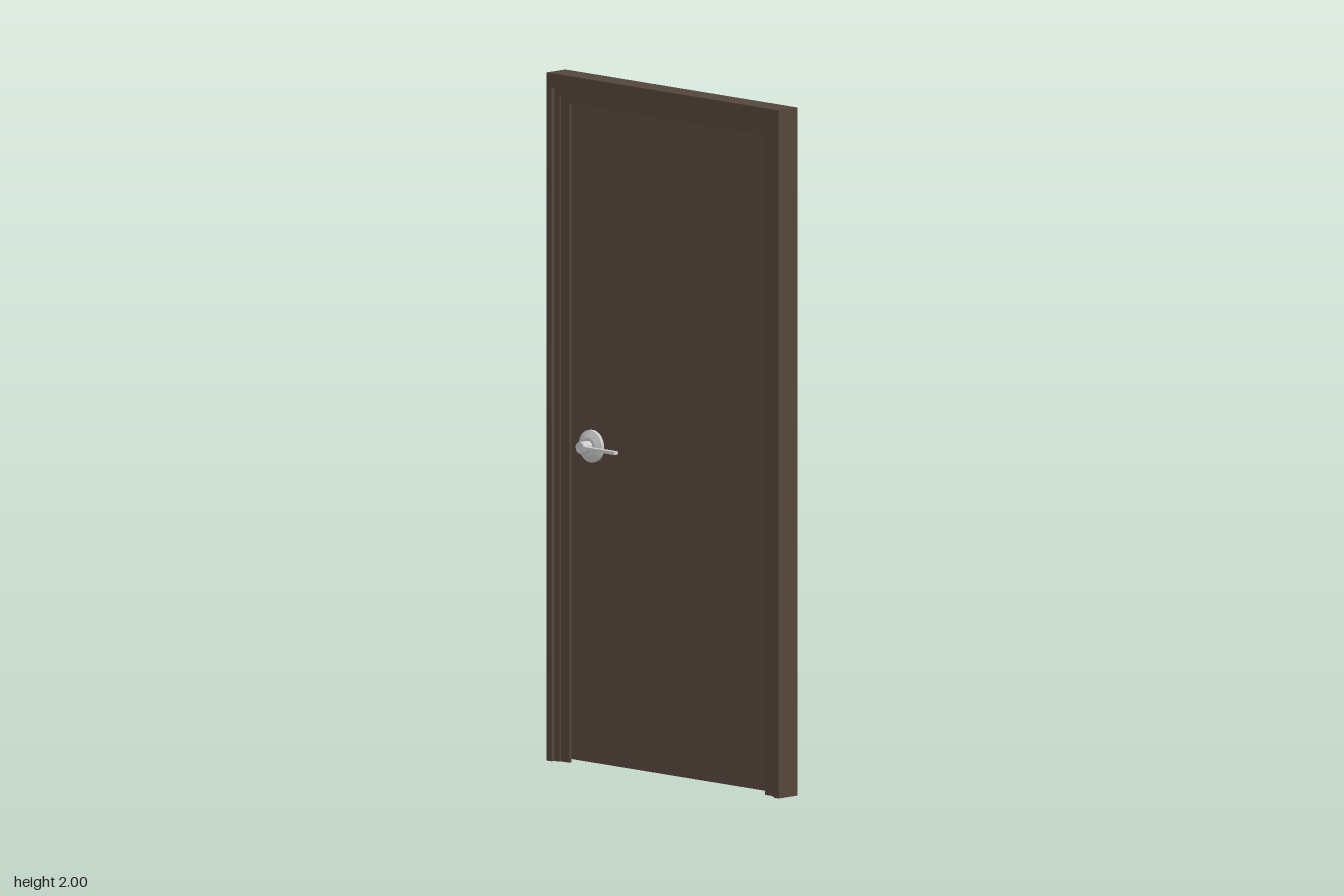
import * as THREE from 'three';

const frameMat = new THREE.MeshStandardMaterial({ color: 0x54463b });
const slabMat = new THREE.MeshStandardMaterial({ color: 0x5a4a3e });
const metalMat = new THREE.MeshStandardMaterial({ color: 0xcccccc });

function add(parent, name, geometry, material) {
  const mesh = new THREE.Mesh(geometry, material);
  mesh.name = name;
  parent.add(mesh);
  return mesh;
}

// Upside-down U (two jambs and a head), extruded from z0 to z1
function surround(outX, outY, inX, inY, z0, z1) {
  const shape = new THREE.Shape([
    [-outX, 0], [-inX, 0], [-inX, inY], [inX, inY],
    [inX, 0], [outX, 0], [outX, outY], [-outX, outY],
  ].map(([x, y]) => new THREE.Vector2(x, y)));
  return new THREE.ExtrudeGeometry(shape, { depth: z1 - z0, bevelEnabled: false }).translate(0, 0, z0);
}

// Rose, stem and lever, pointing along +z from the slab face at z = 0
function makeHandle(name) {
  const handle = new THREE.Group();
  handle.name = name;

  // Rose: short rim, then a shallow cone
  const rim = add(handle, 'roseRim', new THREE.CylinderGeometry(0.047, 0.047, 0.01, 32), metalMat);
  rim.rotation.x = Math.PI / 2;
  rim.position.z = 0.005;
  const cone = add(handle, 'roseCone', new THREE.CylinderGeometry(0.026, 0.047, 0.008, 32), metalMat);
  cone.rotation.x = Math.PI / 2;
  cone.position.z = 0.014;

  const stem = add(handle, 'stem', new THREE.CylinderGeometry(0.017, 0.017, 0.052, 24), metalMat);
  stem.rotation.x = Math.PI / 2;
  stem.position.z = 0.026;

  // Thin flat lever toward the middle of the door
  const lever = add(handle, 'lever', new THREE.BoxGeometry(0.132, 0.009, 0.015), metalMat);
  lever.position.set(0.074, 0, 0.0435);
  return handle;
}

export function createModel() {
  const model = new THREE.Group();
  model.name = 'door';

  // Frame stepping in toward the slab
  const frame = new THREE.Group();
  frame.name = 'frame';
  add(frame, 'frameOuter', surround(0.475, 2, 0.455, 1.958, -0.025, 0.05), frameMat);
  add(frame, 'frameStep', surround(0.455, 1.958, 0.435, 1.932, 0.024, 0.038), frameMat);
  add(frame, 'frameStop', surround(0.435, 1.932, 0.4, 1.917, 0.024, 0.031), frameMat);
  model.add(frame);

  // Slab sits flush at the back with a narrow gap all round
  const slab = add(model, 'slab', new THREE.BoxGeometry(0.9, 1.941, 0.048), slabMat);
  slab.position.set(0, 0.9805, -0.001);

  // Matching handles on both faces
  const front = makeHandle('frontHandle');
  front.position.set(-0.314, 0.93, 0.023);
  const back = makeHandle('backHandle');
  back.position.set(-0.314, 0.93, -0.025);
  back.rotation.x = Math.PI;
  model.add(front, back);

  return model;
}
